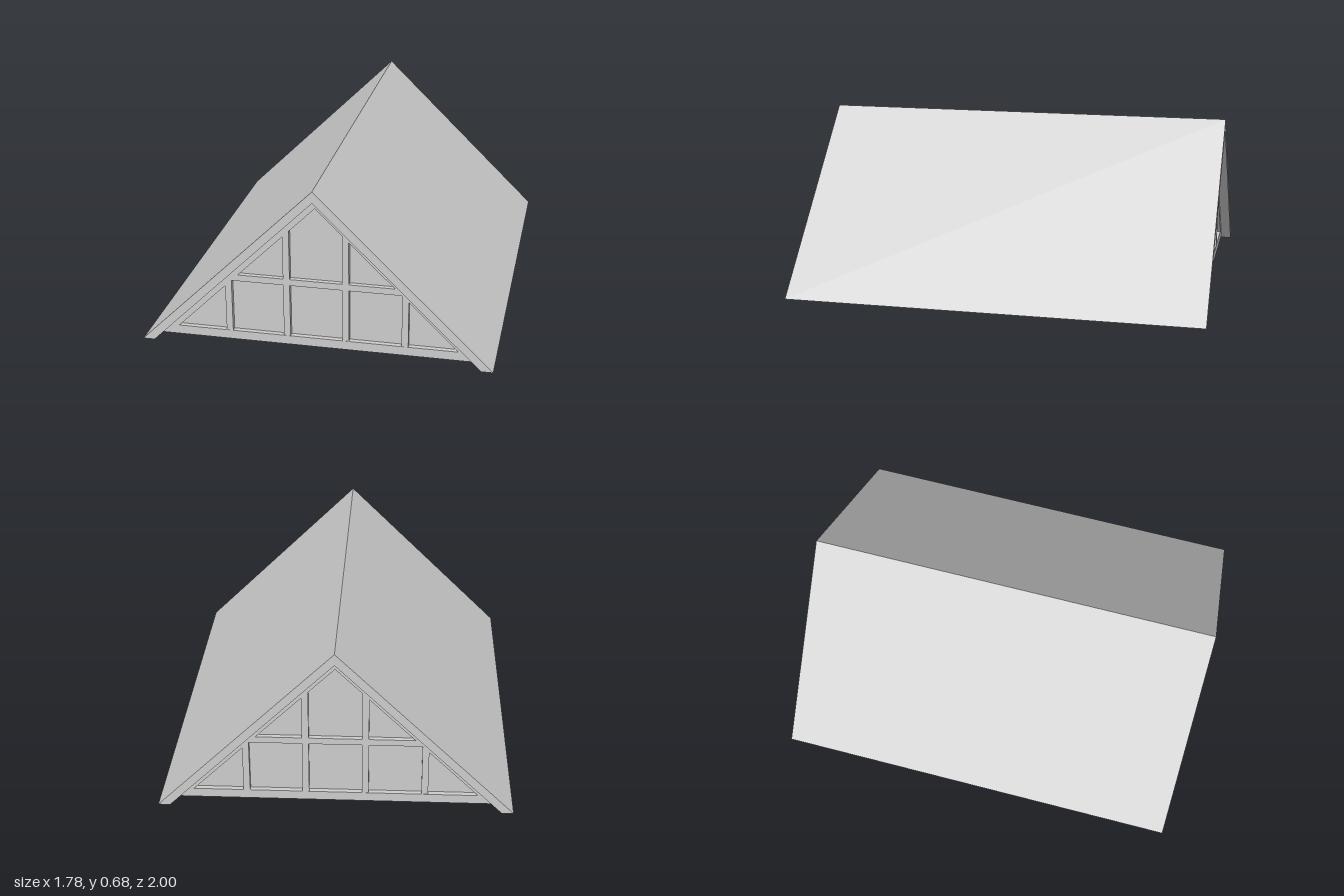
import * as THREE from 'three';

const material = new THREE.MeshStandardMaterial({
  color: 0xcccccc, flatShading: true, side: THREE.DoubleSide,
});
const HALF_W = 0.694, HEIGHT = 0.682, HALF_L = 0.849; // outer roof prism
const SLOPE = HEIGHT / HALF_W;
const FRAME_APEX = 0.636, OPEN_APEX = 0.597;          // apexes of the window frame and its opening
const FRAME_BASE = 0.014, SILL = 0.05;                // bottom and top of the lower frame bar
const FRAME_Z = HALF_L - 0.042, GLASS_Z = FRAME_Z - 0.022;
const LINING_Z = HALF_L - 0.185;                      // inner end of the window lining
const BAR = 0.026, BAR_DEPTH = 0.04;

// Half width at height y of a gable with the given apex
const halfAt = (y, apex) => (apex - y) / SLOPE;

// Corner points of a gable triangle with its base at y
const gablePoints = (y, apex) => [[-halfAt(y, apex), y], [0, apex], [halfAt(y, apex), y]];

const outline = (pts, Type = THREE.Shape) => new Type(pts.map(([x, y]) => new THREE.Vector2(x, y)));

// Open sheet: a profile of [x, y] points swept from z0 to z1
function sheet(profile, z0, z1) {
  const positions = [];
  for (let i = 0; i < profile.length - 1; i++) {
    const [ax, ay] = profile[i], [bx, by] = profile[i + 1];
    positions.push(ax, ay, z0, ax, ay, z1, bx, by, z1, ax, ay, z0, bx, by, z1, bx, by, z0);
  }
  const g = new THREE.BufferGeometry();
  g.setAttribute('position', new THREE.Float32BufferAttribute(positions, 3));
  g.computeVertexNormals();
  return g;
}

function add(parent, name, geometry, x = 0, y = 0, z = 0) {
  const mesh = new THREE.Mesh(geometry, material);
  mesh.name = name;
  mesh.position.set(x, y, z);
  parent.add(mesh);
}

// One end of the roof with its glazed gable, facing +z
function createGable() {
  const gable = new THREE.Group();

  // Sloping end faces of the roof and the soffit behind them
  const soffit = gablePoints(0, FRAME_APEX);
  const verge = outline([...gablePoints(0, HEIGHT), ...soffit.slice().reverse()]);
  add(gable, 'verge', new THREE.ShapeGeometry(verge), 0, 0, HALF_L);
  add(gable, 'soffit', sheet(soffit, FRAME_Z, HALF_L));

  // Triangular window frame with a deep sloping lining
  const frame = outline(gablePoints(FRAME_BASE, FRAME_APEX));
  frame.holes.push(outline(gablePoints(SILL, OPEN_APEX), THREE.Path));
  add(gable, 'windowFrame', new THREE.ShapeGeometry(frame), 0, 0, FRAME_Z);
  add(gable, 'windowLining', sheet(gablePoints(SILL, OPEN_APEX), LINING_Z, FRAME_Z));

  // Lower frame bar
  const sill = new THREE.BoxGeometry(2 * halfAt(SILL, FRAME_APEX), SILL - FRAME_BASE, 0.06);
  add(gable, 'sill', sill, 0, (SILL + FRAME_BASE) / 2, FRAME_Z - 0.031);

  // Pane
  add(gable, 'windowPane', new THREE.ShapeGeometry(outline(gablePoints(SILL, OPEN_APEX))), 0, 0, GLASS_Z);

  // Vertical glazing bars, ending at the sloping frame
  for (const x of [-0.348, -0.116, 0.116, 0.348]) {
    const top = OPEN_APEX - Math.abs(x) * SLOPE + BAR / 2;
    add(gable, 'verticalBar', new THREE.BoxGeometry(BAR, top - SILL, BAR_DEPTH), x, (top + SILL) / 2, GLASS_Z);
  }

  // Horizontal glazing bar
  const barY = 0.28;
  const width = 2 * halfAt(barY - BAR / 2, OPEN_APEX);
  add(gable, 'horizontalBar', new THREE.BoxGeometry(width, BAR, BAR_DEPTH - 0.001), 0, barY, GLASS_Z);
  return gable;
}

export function createModel() {
  const roof = new THREE.Group();
  roof.name = 'gableRoof';

  // Two thin roof slopes
  add(roof, 'roofSlopes', sheet(gablePoints(0, HEIGHT), -HALF_L, HALF_L));

  for (const side of [1, -1]) {
    // Flat foot along each eave
    const foot = [[side * HALF_W, 0], [side * halfAt(0, FRAME_APEX), 0]];
    add(roof, side > 0 ? 'leftEaveFoot' : 'rightEaveFoot', sheet(foot, -HALF_L, HALF_L));

    // Matching gables at both ends
    const gable = createGable();
    gable.name = side > 0 ? 'frontGable' : 'backGable';
    gable.rotation.y = side > 0 ? 0 : Math.PI;
    roof.add(gable);
  }

  // The whole roof is turned slightly about the vertical
  roof.rotation.y = -0.26;
  const model = new THREE.Group();
  model.name = 'roof';
  model.add(roof);
  return model;
}
